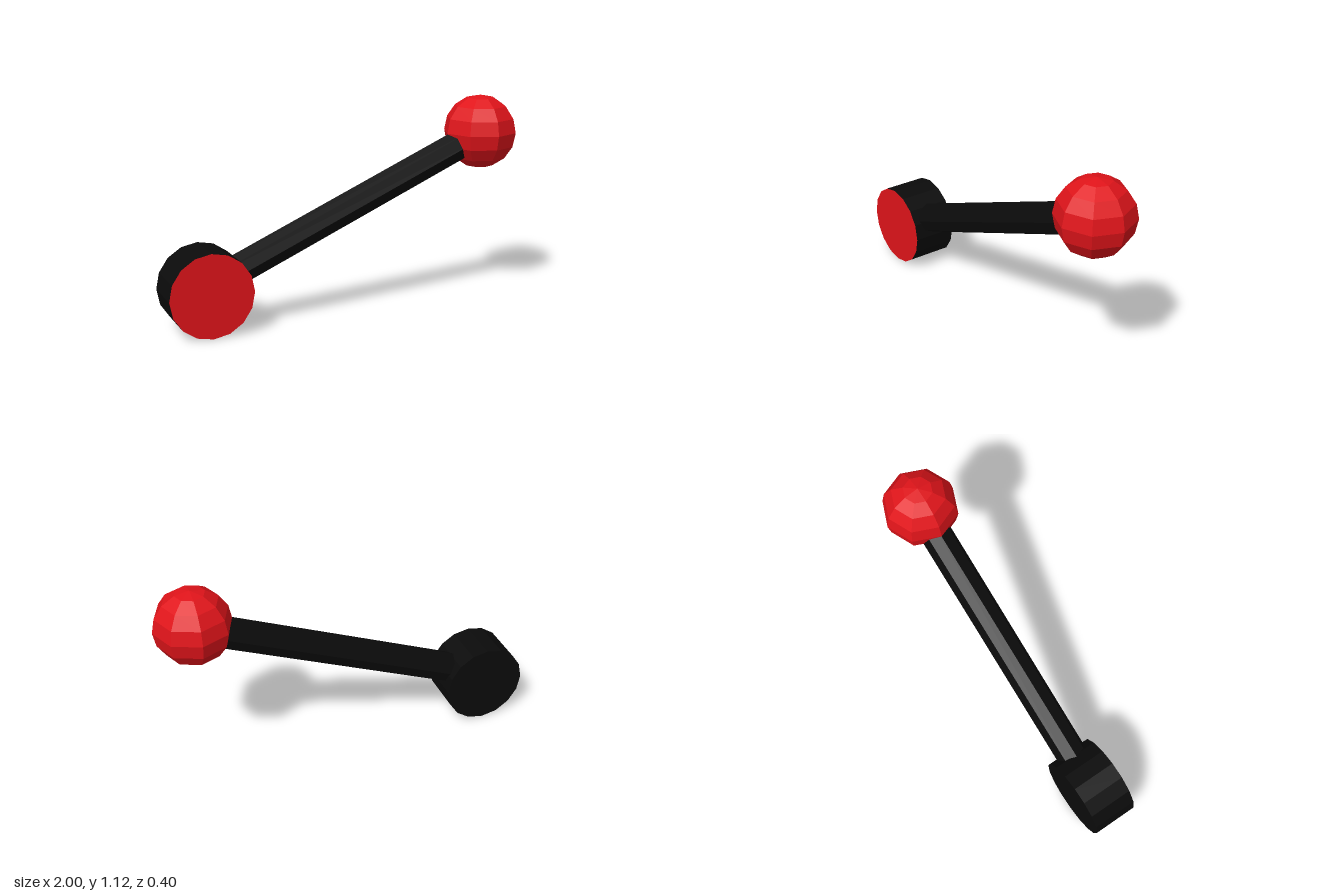
import * as THREE from 'three';

const red = new THREE.MeshStandardMaterial({ color: 0xe0141a, flatShading: true });
const black = new THREE.MeshStandardMaterial({ color: 0x0b0b0b, flatShading: true });

export function createModel() {
  const group = new THREE.Group();
  const add = (name, geometry, material, x, y) => {
    const mesh = new THREE.Mesh(geometry, material);
    mesh.name = name;
    mesh.position.set(x, y, 0);
    group.add(mesh);
    return mesh;
  };

  // Pivot hub lying along z: black side and back, red front face
  const hub = new THREE.CylinderGeometry(0.222, 0.222, 0.24, 16).rotateX(Math.PI / 2);
  add('pivotHub', hub, [black, red, black], -0.778, 0.222);

  // Eight-sided rod running from inside the hub to inside the knob
  const start = new THREE.Vector2(-0.778, 0.235);
  const end = new THREE.Vector2(0.797, 0.91);
  const span = end.clone().sub(start);
  const rod = add('leverRod', new THREE.CylinderGeometry(0.084, 0.084, span.length(), 8), black,
    (start.x + end.x) / 2, (start.y + end.y) / 2);
  rod.rotation.z = span.angle() - Math.PI / 2;

  // Faceted ball knob
  add('ballKnob', new THREE.SphereGeometry(0.2, 8, 8), red, 0.8, 0.922);

  return group;
}
